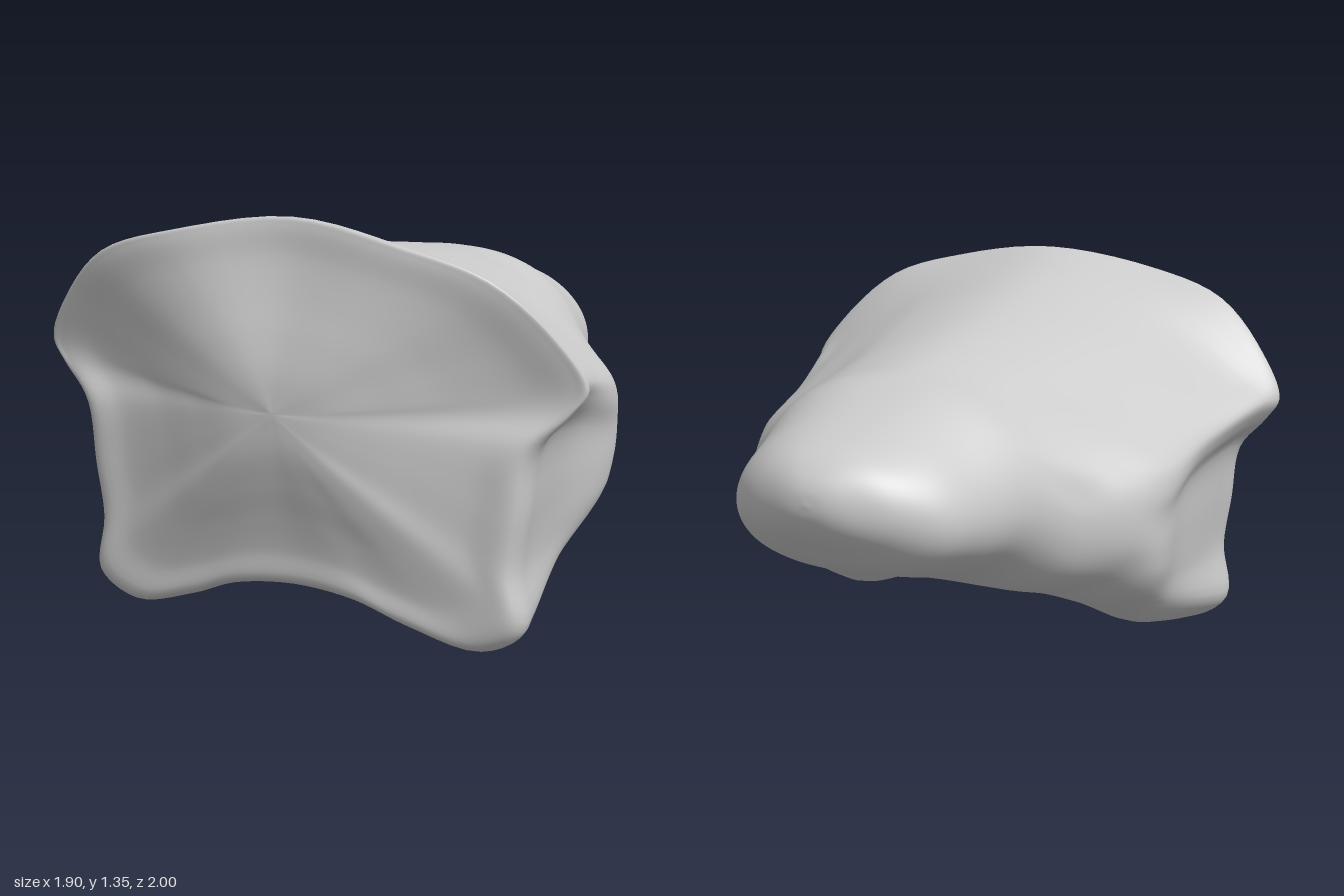
import * as THREE from 'three';
import { mergeVertices } from 'three/addons/utils/BufferGeometryUtils.js';

const COLS = 130, STEPS = 6;

// Half outlines run from the top centre, down the +x side, to the bottom centre.
const RIM = [[0, 1.35, .87], [.4, 1.29, .91], [.68, 1.2, .88], [.87, 1.02, .81], [.95, .87, .77],
  [.9, .79, .78], [.8, .67, .79], [.77, .47, .8], [.745, .28, .8], [.765, .09, .8], [.63, .005, .8],
  [.4, .06, .82], [.22, .13, .84], [0, .155, .84]];

// Body sections behind the rim: [z, half outline]
const BODY = [
  [.68, [[0, 1.275], [.36, 1.2], [.62, 1.08], [.82, .95], [.92, .87], [.88, .79], [.8, .69],
    [.765, .48], [.74, .28], [.75, .1], [.61, .015], [.38, .1], [.2, .17], [0, .2]]],
  [.35, [[0, 1.2], [.33, 1.13], [.56, 1.01], [.74, .89], [.83, .8], [.82, .74], [.77, .64],
    [.75, .46], [.73, .3], [.7, .18], [.57, .09], [.36, .17], [.18, .24], [0, .27]]],
  [.05, [[0, 1.15], [.3, 1.08], [.5, .96], [.68, .84], [.78, .745], [.8, .67], [.79, .58],
    [.785, .46], [.76, .36], [.69, .28], [.53, .23], [.34, .27], [.17, .31], [0, .33]]],
  [-.1, [[0, 1.125], [.26, 1.07], [.44, .97], [.58, .87], [.68, .77], [.73, .69], [.745, .6],
    [.73, .49], [.67, .4], [.58, .34], [.45, .3], [.3, .31], [.15, .33], [0, .34]]],
  [-.25, [[0, 1.1], [.24, 1.05], [.4, .97], [.51, .88], [.58, .79], [.61, .7], [.625, .62],
    [.615, .53], [.575, .45], [.5, .39], [.38, .35], [.25, .345], [.12, .35], [0, .355]]],
];

// Rounded tail sections: [z, half width, top, bottom]
const TAIL = [[-.42, .52, 1.07, .4], [-.6, .455, 1.01, .45], [-.78, .39, .955, .51],
  [-.9, .27, .915, .605], [-.965, .15, .865, .675], [-.992, .07, .82, .73], [-1, 0, .775, .775]];

// Squarish oval, widest a little below its middle
function oval([z, w, top, bottom]) {
  const mid = (top + bottom) / 2, h = (top - bottom) / 2;
  return RIM.map((_, i) => {
    const a = Math.PI * i / (RIM.length - 1);
    const s = i === RIM.length - 1 ? 0 : Math.sin(a);
    return [w * Math.pow(s, .85), mid + h * (Math.cos(a) - .15 * s * s), z];
  });
}

// Domed front face: the rim scaled towards the face centre, set forward along the lower edge
function faceRing(t) {
  const bulge = (1 + Math.cos(Math.PI * t)) / 2;
  return RIM.map(([x, y, z]) => {
    const edge = z + (y < .7 ? .05 : .01);
    return [x * t, .75 + (y - .75) * t, edge + (1 - edge) * bulge];
  });
}

// Mirror a half outline into a smooth closed loop
function loop(half) {
  const right = half.map((p) => new THREE.Vector3(...p));
  const left = half.slice(1, -1).reverse().map(([x, y, z]) => new THREE.Vector3(-x, y, z));
  const curve = new THREE.CatmullRomCurve3([...right, ...left], true);
  return Array.from({ length: COLS }, (_, j) => curve.getPoint(j / COLS));
}

// Smooth skin through a row of closed loops
function skin(loops) {
  const rows = (loops.length - 1) * STEPS;
  const positions = [], index = [];
  const rails = Array.from({ length: COLS }, (_, j) => new THREE.CatmullRomCurve3(loops.map((l) => l[j])));
  for (let i = 0; i <= rows; i++) {
    for (const rail of rails) positions.push(...rail.getPoint(i / rows).toArray());
  }
  for (let i = 0; i < rows; i++) {
    for (let j = 0; j < COLS; j++) {
      const a = i * COLS + j, c = i * COLS + (j + 1) % COLS;
      const b = a + COLS, d = c + COLS;
      index.push(a, c, b, b, c, d);
    }
  }
  const geometry = new THREE.BufferGeometry();
  geometry.setAttribute('position', new THREE.Float32BufferAttribute(positions, 3));
  geometry.setIndex(index);
  const welded = mergeVertices(geometry, 1e-5);
  welded.computeVertexNormals();
  return welded;
}

export function createModel() {
  const sections = [
    ...[0, .2, .4, .6, .8, .96].map(faceRing),
    RIM,
    ...BODY.map(([z, outline]) => outline.map(([x, y]) => [x, y, z])),
    ...TAIL.map(oval),
  ];
  const bone = new THREE.Mesh(skin(sections.map(loop)),
    new THREE.MeshStandardMaterial({ color: 0xcccccc }));
  bone.name = 'wedgeBone';
  const group = new THREE.Group();
  group.name = 'bone';
  group.add(bone);
  return group;
}
